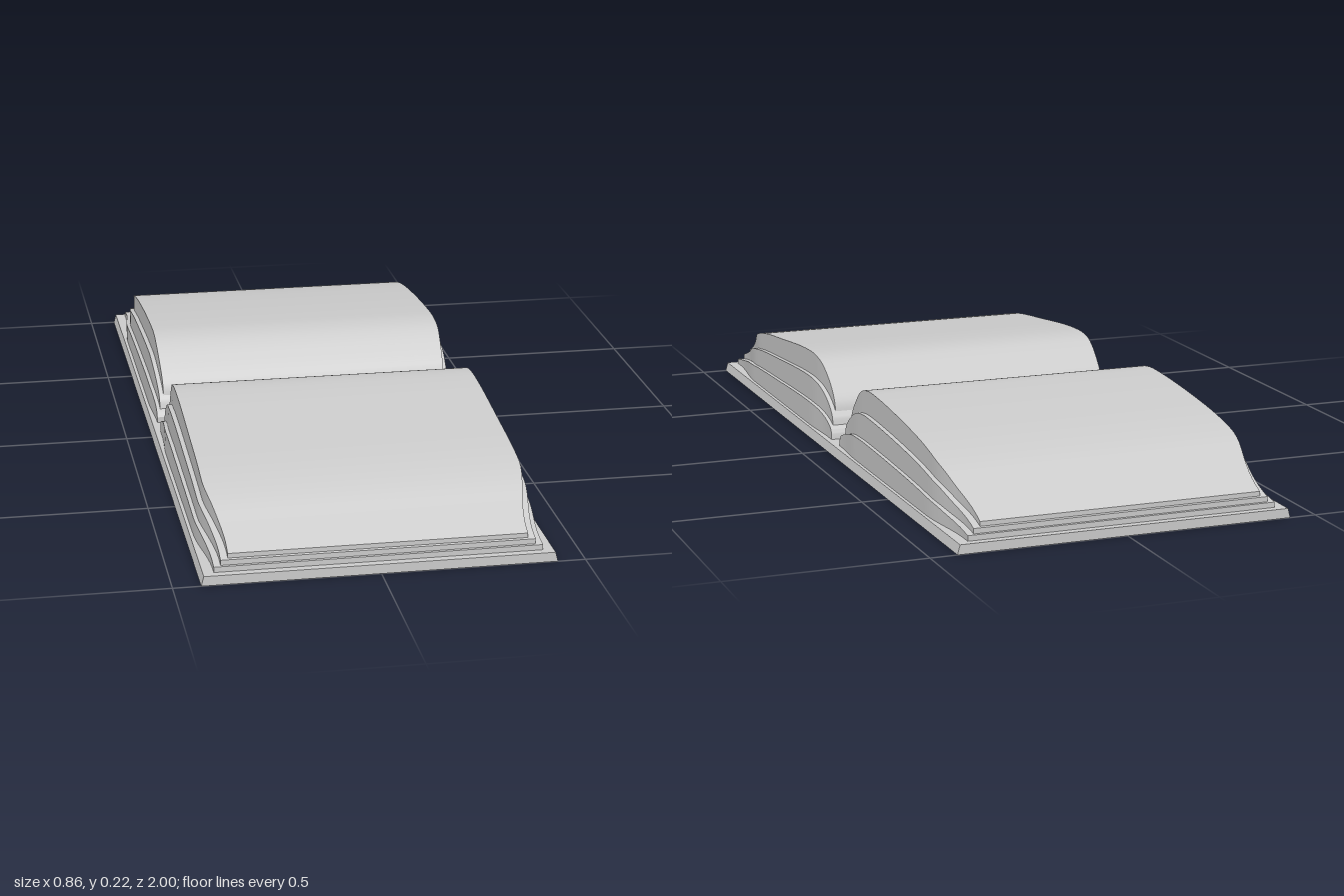
import * as THREE from 'three';
import { toCreasedNormals } from 'three/addons/utils/BufferGeometryUtils.js';

const COVER = 0.024;
const material = new THREE.MeshStandardMaterial({ color: 0xcccccc });

// Page curve from the spine to the fore edge: [distance from centre, height]
const frontCurve = [[0.05, 0.068], [0.06, 0.117], [0.1, 0.166], [0.155, 0.203], [0.205, 0.215],
  [0.3, 0.215], [0.51, 0.195], [0.72, 0.17], [0.82, 0.143], [0.89, 0.105], [0.97, 0.065]];
const backCurve = [[0.075, 0.068], [0.088, 0.117], [0.134, 0.166], [0.187, 0.203], [0.24, 0.215],
  [0.315, 0.215], [0.52, 0.199], [0.685, 0.177], [0.79, 0.15], [0.86, 0.115], [0.97, 0.065]];

// Nested page layers: share of full height, half width, spine spread, fore-edge end, corner taper
const layers = [
  { rise: 0.33, half: 0.417, spread: 0.028, end: 0.98, taper: 0.018 },
  { rise: 0.67, half: 0.407, spread: 0.012, end: 0.974, taper: 0.025 },
  { rise: 1, half: 0.395, spread: 0, end: 0.968, taper: 0.031 },
];

// Solid lofted from rectangular sections that follow the page curve
function pageLayer(curve, layer, side) {
  const path = new THREE.CatmullRomCurve3(
    curve.map(([z, y]) => new THREE.Vector3(0, y, z)), false, 'centripetal');
  const z0 = curve[0][0], z1 = curve[curve.length - 1][0];
  const count = 48, positions = [], index = [];
  for (let i = 0; i <= count; i++) {
    const p = path.getPoint(i / count);
    const start = z0 - layer.spread;
    const z = start + (p.z - z0) / (z1 - z0) * (layer.end - start);
    const y = COVER + (p.y - COVER) * layer.rise;
    const w = layer.half - layer.taper * THREE.MathUtils.smoothstep(z, 0.74, 0.95)
      - 0.006 * (1 - THREE.MathUtils.smoothstep(z, 0.06, 0.2));
    for (const [x, h] of [[-w, 0.015], [-w, y], [w, y], [w, 0.015]]) {
      positions.push(x * side, h, z * side);
    }
  }
  for (let i = 0; i < count; i++) {
    for (let k = 0; k < 4; k++) {
      const a = i * 4 + k, b = i * 4 + (k + 1) % 4;
      index.push(a, a + 4, b, b, a + 4, b + 4);
    }
  }
  const e = count * 4;
  index.push(0, 1, 2, 0, 2, 3, e, e + 2, e + 1, e, e + 3, e + 2);
  const geometry = new THREE.BufferGeometry();
  geometry.setAttribute('position', new THREE.Float32BufferAttribute(positions, 3));
  geometry.setIndex(index);
  return toCreasedNormals(geometry, 0.6);
}

export function createModel() {
  const book = new THREE.Group();
  book.name = 'openBook';

  // Flat cover with slightly sloping sides
  const coverGeometry = new THREE.BoxGeometry(0.864, COVER, 2);
  const pos = coverGeometry.attributes.position;
  for (let i = 0; i < pos.count; i++) {
    if (pos.getY(i) > 0) pos.setX(i, pos.getX(i) * 0.985);
  }
  coverGeometry.computeVertexNormals();
  const cover = new THREE.Mesh(coverGeometry, material);
  cover.name = 'cover';
  cover.position.y = COVER / 2;
  book.add(cover);

  // Two arched page blocks, turned opposite ways
  for (const [name, curve, side] of [['frontPages', frontCurve, 1], ['backPages', backCurve, -1]]) {
    const pages = new THREE.Group();
    pages.name = name;
    layers.forEach((layer, i) => {
      const mesh = new THREE.Mesh(pageLayer(curve, layer, side), material);
      mesh.name = `pageLayer${i + 1}`;
      pages.add(mesh);
    });
    book.add(pages);
  }
  return book;
}
